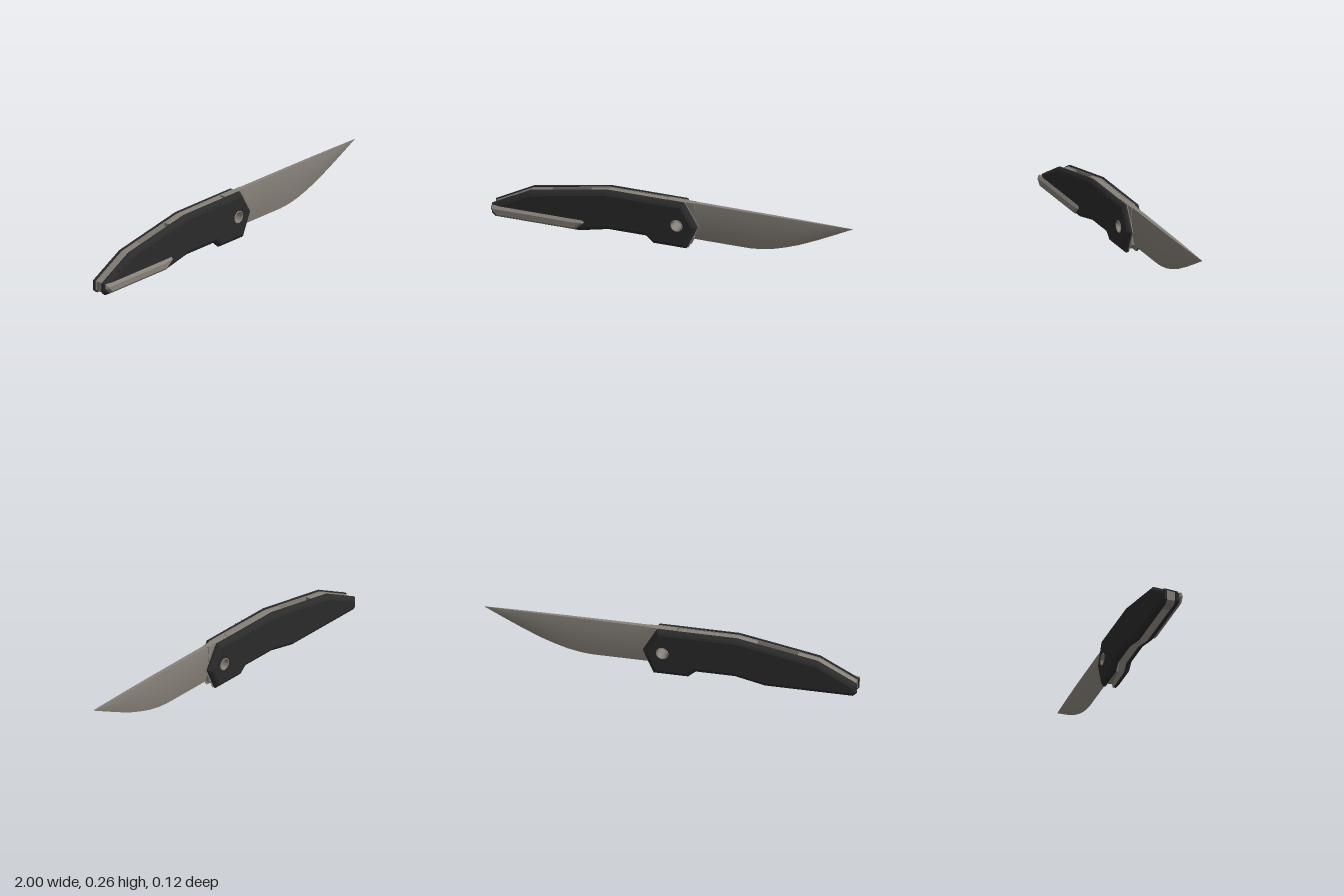
import * as THREE from 'three';
import { toCreasedNormals } from 'three/addons/utils/BufferGeometryUtils.js';

const steel = new THREE.MeshStandardMaterial({ color: 0x878179 });
steel.name = 'warm grey steel';
const black = new THREE.MeshStandardMaterial({ color: 0x2b2b2b });
black.name = 'black handle';

const V = (a) => a.map(([x, y]) => new THREE.Vector2(x, y));
const circle = (x, y, r, n) => Array.from({ length: n }, (_, i) => {
  const t = (i / n) * Math.PI * 2;
  return new THREE.Vector2(x + r * Math.cos(t), y + r * Math.sin(t));
});

// Move every edge of a counter-clockwise outline inwards by d
function inset(pts, d) {
  const n = pts.length;
  return pts.map((p, i) => {
    const a = p.clone().sub(pts[(i + n - 1) % n]).normalize();
    const b = pts[(i + 1) % n].clone().sub(p).normalize();
    const na = new THREE.Vector2(-a.y, a.x), nb = new THREE.Vector2(-b.y, b.x);
    const k = d / (1 + na.dot(nb));
    return p.clone().add(na.add(nb).multiplyScalar(k));
  });
}

// Plate stacked from [inset, z] levels, with straight holes; side = -1 mirrors it in z
function plate(outline, holes, levels, side = 1) {
  const pos = [];
  const tri = (a, b, c) => (side > 0 ? [a, b, c] : [a, c, b]).forEach((p) => pos.push(p[0], p[1], p[2] * side));
  const band = (A, za, B, zb) => A.forEach((p, i) => {
    const j = (i + 1) % A.length;
    const a = [p.x, p.y, za], b = [A[j].x, A[j].y, za];
    const c = [B[j].x, B[j].y, zb], d = [B[i].x, B[i].y, zb];
    tri(a, b, c);
    tri(a, c, d);
  });
  const rings = levels.map(([d]) => inset(outline, d));
  const last = levels.length - 1;
  for (let i = 0; i < last; i++) band(rings[i], levels[i][1], rings[i + 1], levels[i + 1][1]);
  const walls = holes.map((h) => h.slice().reverse());
  walls.forEach((h) => band(h, levels[0][1], h, levels[last][1]));
  for (const [k, up] of [[0, false], [last, true]]) {
    const all = [...rings[k], ...walls.flat()];
    const P = (i) => [all[i].x, all[i].y, levels[k][1]];
    for (const [a, b, c] of THREE.ShapeUtils.triangulateShape(rings[k], walls)) {
      if (up) tri(P(a), P(b), P(c));
      else tri(P(a), P(c), P(b));
    }
  }
  const g = new THREE.BufferGeometry();
  g.setAttribute('position', new THREE.Float32BufferAttribute(pos, 3));
  g.computeVertexNormals();
  return g;
}

// Blade lofted from hexagonal sections: edge, grind line, flat, spine
function bladeGeometry() {
  const stations = [
    [0.08, 0.045, 0.016], [0.25, 0.045, 0.0155], [0.42, 0.045, 0.014], [0.48, 0.05, 0.0135],
    [0.55, 0.063, 0.013], [0.62, 0.084, 0.012], [0.7, 0.113, 0.011], [0.8, 0.158, 0.008],
    [0.9, 0.207, 0.0045], [1, 0.257, 0.0005],
  ];
  const pos = [], idx = [];
  for (const [x, b, w] of stations) {
    const h = 0.257 - b;
    const half = [[b + 0.33 * h, 0.8 * w], [b + 0.78 * h, w], [0.257, 0.72 * w]];
    pos.push(x, b, 0);
    half.forEach(([y, z]) => pos.push(x, y, z));
    half.reverse().forEach(([y, z]) => pos.push(x, y, -z));
  }
  const n = 7;
  for (let s = 0; s < stations.length - 1; s++) {
    for (let i = 0; i < n; i++) {
      const a = s * n + i, b = s * n + (i + 1) % n;
      idx.push(a, a + n, b + n, a, b + n, b);
    }
  }
  for (let i = 1; i < n - 1; i++) idx.push(0, i, i + 1);
  const g = new THREE.BufferGeometry();
  g.setAttribute('position', new THREE.Float32BufferAttribute(pos, 3));
  g.setIndex(idx);
  return toCreasedNormals(g, 0.2);
}

export function createModel() {
  const knife = new THREE.Group();
  knife.name = 'foldingKnife';
  const body = new THREE.Group();
  body.name = 'body';
  body.position.z = -0.004;
  knife.add(body);
  const add = (name, geo, mat) => {
    const m = new THREE.Mesh(geo, mat);
    m.name = name;
    body.add(m);
    return m;
  };

  const px = 0.035, py = 0.13;
  const outline = V([
    [-0.98, 0], [-0.51, 0], [-0.35, 0.035], [-0.14, 0.035], [-0.1, 0], [0.085, 0],
    [0.143, 0.13], [0.068, 0.258], [-0.36, 0.258], [-0.79, 0.18], [-1, 0.07], [-1, 0.018],
  ]);
  const linerOutline = V([
    [-0.97, 0.005], [-0.51, 0.005], [-0.35, 0.04], [-0.14, 0.04], [-0.1, 0.005], [0.092, 0.002],
    [0.15, 0.13], [0.072, 0.256], [-0.36, 0.253], [-0.79, 0.175], [-0.995, 0.067], [-0.995, 0.02],
  ]);
  const pivotHole = circle(px, py, 0.031, 32);
  const smallHoles = [[-0.21, 0.243], [-0.16, 0.243], [-0.11, 0.243], [-0.9, 0.112], [-0.86, 0.13], [-0.815, 0.15]]
    .map(([x, y]) => circle(x, y, 0.007, 12));

  // Handle scales and thin liners on both sides
  for (const side of [1, -1]) {
    const s = side > 0 ? 'left' : 'right';
    const name = side > 0 ? 'front' : 'back';
    add(name + 'Scale', plate(outline, side > 0 ? [pivotHole, ...smallHoles] : [pivotHole],
      [[0, 0.0235], [0, 0.034], [0.012, 0.047], [0.024, 0.053]], side), black);
    add(name + 'Liner', plate(linerOutline, [pivotHole], [[0, 0.0195], [0, 0.0228]], side), steel);
  }

  // Blade and its tang
  add('blade', bladeGeometry(), steel);
  add('tang', plate(V([[-0.02, 0.045], [0.09, 0.02], [0.12, 0.05], [0.12, 0.256], [-0.03, 0.256], [-0.04, 0.13]]),
    [pivotHole], [[0, -0.016], [0, 0.016]]), steel);

  // Spacers between the liners
  const spacers = {
    tailSpacer: [[-0.975, 0.006], [-0.9, 0.006], [-0.86, 0.06], [-0.68, 0.165], [-0.68, 0.192], [-0.79, 0.172], [-0.99, 0.066], [-0.99, 0.02]],
    backSpacer: [[-0.46, 0.215], [-0.36, 0.215], [-0.04, 0.2], [-0.04, 0.251], [-0.36, 0.251], [-0.46, 0.232]],
  };
  for (const [name, pts] of Object.entries(spacers)) {
    add(name, plate(V(pts), [], [[0, -0.0195], [0, 0.0195]]), steel);
  }

  // Hollow pivot running through the handle
  const barrel = new THREE.LatheGeometry(V([
    [0.027, -0.05], [0.029, -0.056], [0.032, -0.056], [0.034, -0.053],
    [0.034, 0.053], [0.032, 0.056], [0.029, 0.056], [0.027, 0.05], [0.027, -0.05],
  ]), 32);
  barrel.rotateX(Math.PI / 2).translate(px, py, 0);
  add('pivot', toCreasedNormals(barrel, 0.5), steel);

  // Pocket clip on the front scale, bevelled all round
  add('pocketClip', plate(V([[-0.965, 0.012], [-0.53, 0.012], [-0.48, 0.056], [-0.487, 0.068], [-0.998, 0.068], [-0.998, 0.045]]),
    [], [[0, 0.046], [0, 0.055], [0.013, 0.067]]), steel);

  return knife;
}
